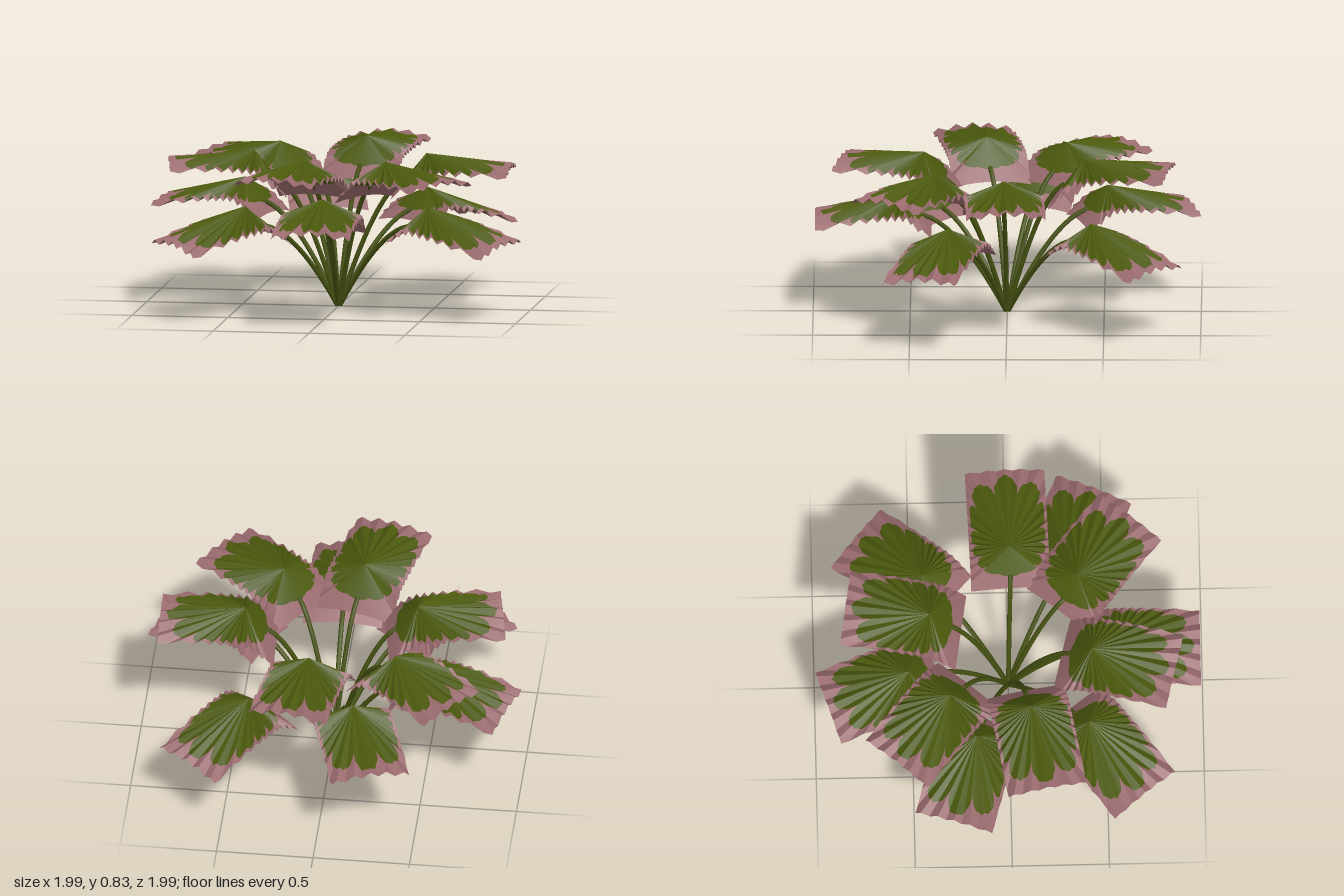
import * as THREE from 'three';

// Leaf outline relative to its highest point
const INNER = 0.16, OUTER = 0.44, HALF = 0.205;
const DEG = Math.PI / 180, LOBE = 22, PLEAT = 11;
const BACK_DROP = 1.08; // steepness of the skirt facing the plant's middle
const JOINT = 0.11; // distance from the peak back to the stem joint

// Middle of outer edge (x, z), heading in degrees, peak height, outward slope, sideways roll
const LEAVES = [
  [-0.29, -0.935, -108, 0.63, 0, 0], [0.155, -0.835, -81, 0.83, 0.19, 0],
  [0.68, -0.77, -50, 0.565, -0.12, 0], [0.9, 0, -2, 0.805, 0.13, 0],
  [0.92, 0.46, 21, 0.565, -0.11, -0.1], [0.64, 0.64, 39, 0.805, 0.12, 0],
  [0, 0.99, 90, 0.63, 0, 0], [-0.22, 0.855, 104, 0.815, 0.16, 0],
  [-0.76, 0.69, 140, 0.565, -0.11, 0.07], [-0.855, 0.185, 170, 0.815, 0.16, 0],
  [-0.935, -0.3, 197, 0.635, 0, 0], [-0.685, -0.59, 220, 0.805, 0.12, 0],
];

// Distance to the rectangular leaf border in direction a
function borderRadius(a) {
  const c = Math.cos(a), s = Math.abs(Math.sin(a));
  const along = c > 0 ? OUTER / Math.max(c, 1e-6) : INNER / Math.max(-c, 1e-6);
  return Math.min(along, HALF / Math.max(s, 1e-6));
}

// Lobed and finely toothed edge of the green centre
function greenRadius(a) {
  const d = Math.abs(a) / DEG;
  const r = [0.42, 0.39, 0.235, 0.19, 0.17, 0.125, 0.12];
  const i = Math.min(5, Math.floor(d / 30));
  const base = THREE.MathUtils.lerp(r[i], r[i + 1], d / 30 - i);
  const lobe = d < 121
    ? 0.75 + 0.25 * Math.sqrt(Math.abs(Math.cos(d / LOBE * Math.PI))) - 0.03 * Math.abs(Math.sin(d * 0.65))
    : 0.95;
  return Math.min(base * lobe, borderRadius(a) * 0.93);
}

// Drooping height, with pleats that deepen towards the rim
function height(a, r) {
  const c = Math.cos(a), s = Math.sin(a), d = Math.abs(a) / DEG;
  const wave = Math.abs((d / PLEAT) % 1 - 0.5) * 4 - 1;
  const pleat = d < 121 ? 0.014 * wave * (r / borderRadius(a)) ** 2 : 0;
  return pleat - r * Math.hypot(c * (c > 0 ? 0.27 : BACK_DROP), s * 0.45);
}

// Ray directions: even steps plus the four corners
function rayAngles() {
  const list = [];
  for (let d = -180; d < 180; d += PLEAT / 8) list.push(d * DEG);
  for (const s of [-1, 1]) {
    list.push(s * Math.atan2(HALF, OUTER), s * Math.atan2(HALF, -INNER));
    for (let d = 0; d < 122; d += PLEAT / 2) list.push(s * d * DEG);
  }
  list.sort((p, q) => p - q);
  list.push(Math.PI);
  return list.filter((a, i) => i === 0 || a - list[i - 1] > 1e-4);
}

// Green fan in the middle or pink band around it
function leafGeometry(angles, slope, roll, band) {
  const pos = [];
  const put = (a, r) => {
    const u = r * Math.cos(a), v = r * Math.sin(a);
    pos.push(u, height(a, r) + slope * u + roll * v, v);
  };
  for (let i = 0; i < angles.length - 1; i++) {
    const a = angles[i], b = angles[i + 1];
    const ga = greenRadius(a), gb = greenRadius(b);
    if (band) {
      const ra = borderRadius(a), rb = borderRadius(b);
      put(a, ga); put(b, gb); put(b, rb);
      put(a, ga); put(b, rb); put(a, ra);
    } else {
      put(a, 0); put(b, gb); put(a, ga);
    }
  }
  const g = new THREE.BufferGeometry();
  g.setAttribute('position', new THREE.Float32BufferAttribute(pos, 3));
  g.computeVertexNormals();
  return g;
}

export function createModel() {
  const plant = new THREE.Group();
  plant.name = 'plant';
  const make = (name, color) => {
    const m = new THREE.MeshStandardMaterial({ color, side: THREE.DoubleSide });
    m.name = name;
    return m;
  };
  const green = make('leafGreen', 0x4b590d);
  const pink = make('leafPink', 0x996a6e);
  const stemGreen = make('stemGreen', 0x445010);
  const angles = rayAngles();

  for (const [ex, ez, deg, y, slope, roll] of LEAVES) {
    const h = deg * DEG, dx = Math.cos(h), dz = Math.sin(h);

    // Leaf blade
    const leaf = new THREE.Group();
    leaf.name = 'leaf';
    const centre = new THREE.Mesh(leafGeometry(angles, slope, roll, false), green);
    centre.name = 'leafCentre';
    const border = new THREE.Mesh(leafGeometry(angles, slope, roll, true), pink);
    border.name = 'leafBorder';
    leaf.add(centre, border);
    leaf.position.set(ex - OUTER * dx, y, ez - OUTER * dz);
    leaf.rotation.y = -h;
    plant.add(leaf);

    // Arching stem from the base to the back of the leaf
    const back = OUTER + JOINT;
    const tip = new THREE.Vector3(ex - back * dx, y - JOINT * (BACK_DROP + slope), ez - back * dz);
    const curve = new THREE.QuadraticBezierCurve3(
      new THREE.Vector3(tip.x * 0.02, 0.003, tip.z * 0.02),
      new THREE.Vector3(tip.x * 0.57, tip.y * 0.9, tip.z * 0.57),
      tip,
    );
    const stem = new THREE.Mesh(new THREE.TubeGeometry(curve, 14, 0.0125, 7), stemGreen);
    stem.name = 'stem';
    plant.add(stem);
  }
  return plant;
}
